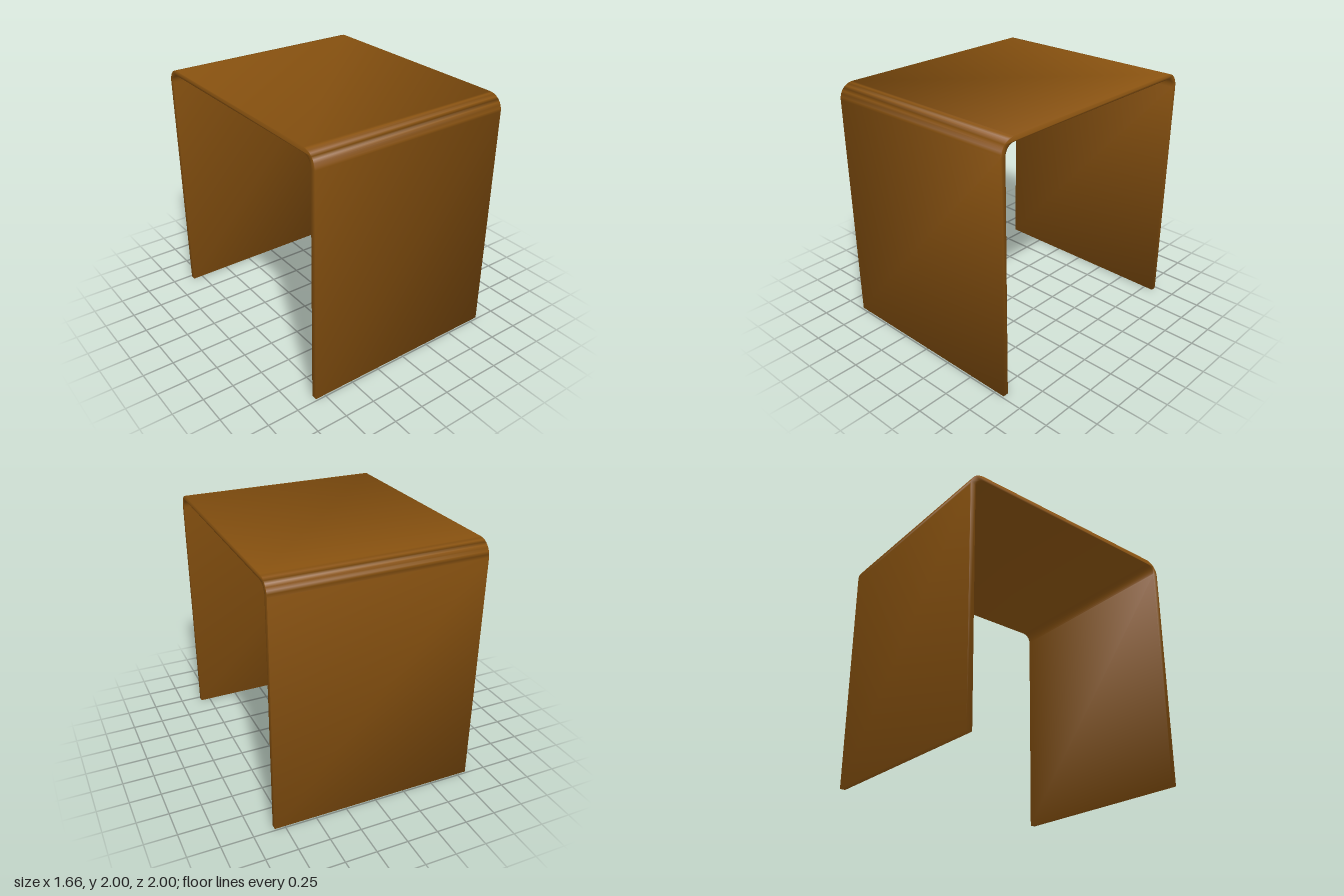
import * as THREE from 'three';
import { toCreasedNormals } from 'three/addons/utils/BufferGeometryUtils.js';

const WIDTH = 1.66;

// One side of the bent-sheet profile: foot, shoulder, then the rounded bend up to the flat top.
function halfOutline(footX, sideX, topY, radius, steps = 8) {
  const points = [new THREE.Vector2(footX, 0)];
  for (let i = 0; i <= steps; i++) {
    const a = (i / steps) * Math.PI / 2;
    points.push(new THREE.Vector2(
      sideX - radius + radius * Math.cos(a),
      topY - radius + radius * Math.sin(a)
    ));
  }
  return points;
}

// Mirror a half outline to run from the right foot over the top to the left foot.
function fullOutline(half) {
  const mirrored = half.map(p => new THREE.Vector2(-p.x, p.y)).reverse();
  return [...half, ...mirrored];
}

export function createModel() {
  const group = new THREE.Group();
  group.name = 'bentSheetTable';

  // Closed profile: outer skin one way, inner skin back, legs leaning slightly inwards
  const outer = fullOutline(halfOutline(0.985, 1, 2, 0.12));
  const inner = fullOutline(halfOutline(0.94, 0.955, 1.96, 0.08)).reverse();
  const profile = new THREE.Shape([...outer, ...inner]);

  // Sheet swept across the width, with soft shading over the whole surface
  let geometry = new THREE.ExtrudeGeometry(profile, { depth: WIDTH, bevelEnabled: false });
  geometry.translate(0, 0, -WIDTH / 2);
  geometry.rotateY(Math.PI / 2);
  geometry = toCreasedNormals(geometry, Math.PI);

  const sheet = new THREE.Mesh(geometry, new THREE.MeshStandardMaterial({ color: 0x8a5310 }));
  sheet.name = 'bentSheet';
  group.add(sheet);
  return group;
}
